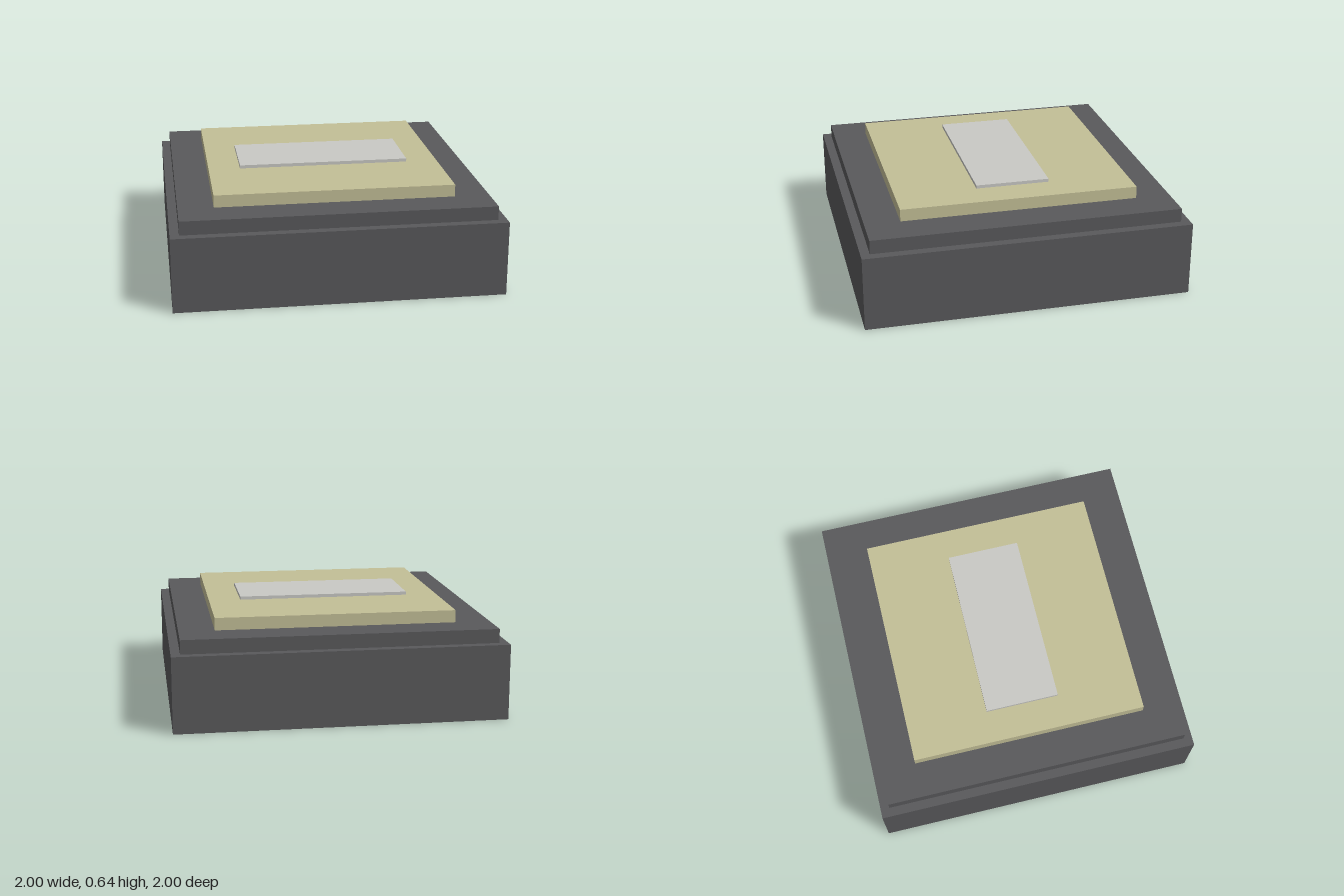
import * as THREE from 'three';

const flat = (name, color) => {
  const material = new THREE.MeshStandardMaterial({ color });
  material.name = name;
  return material;
};

export function createModel() {
  const group = new THREE.Group();
  group.name = 'steppedBlock';

  const darkGrey = flat('darkGrey', 0x59595b);
  const sand = flat('sand', 0xc3bf97);
  const paleGrey = flat('paleGrey', 0xc9c9c5);

  // Stacked slabs: name, width, depth, bottom, top, material
  const slabs = [
    ['base', 2, 2, 0, 0.46, darkGrey],
    ['upperStep', 1.89, 1.89, 0.46, 0.545, darkGrey],
    ['pad', 1.46, 1.46, 0.545, 0.62, sand],
    ['topPlate', 1.065, 0.455, 0.62, 0.64, paleGrey],
  ];

  for (const [name, width, depth, bottom, top, material] of slabs) {
    const mesh = new THREE.Mesh(new THREE.BoxGeometry(width, top - bottom, depth), material);
    mesh.name = name;
    mesh.position.y = (bottom + top) / 2;
    group.add(mesh);
  }

  return group;
}
